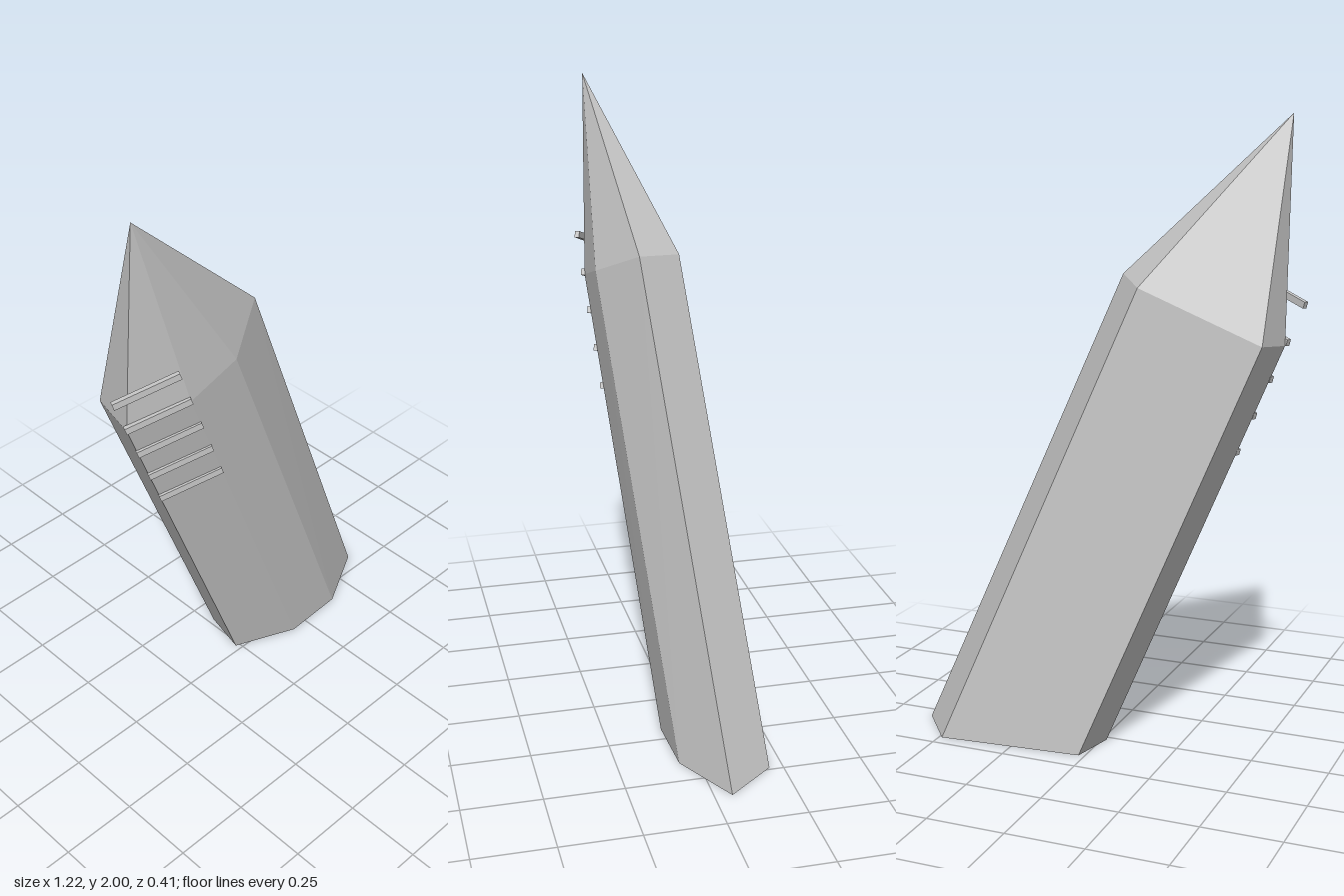
import * as THREE from 'three';

// Leaning six-sided crystal: base ring, shoulder ring and tip
const BASE = [
  [0.61, 0, -0.055], [0.49, 0, -0.207], [0.02, 0, -0.17],
  [-0.015, 0, -0.02], [0.19, 0, 0.067], [0.40, 0, 0.058],
];
const SHOULDER = [
  [-0.03, 1.51, 0.08], [-0.135, 1.485, -0.07], [-0.522, 1.325, -0.05],
  [-0.55, 1.31, 0.097], [-0.385, 1.375, 0.185], [-0.205, 1.43, 0.183],
];
const TIP = [-0.545, 2, 0.152];

function facets(triangles) {
  const geo = new THREE.BufferGeometry();
  geo.setAttribute('position', new THREE.Float32BufferAttribute(triangles.flat(2), 3));
  geo.computeVertexNormals();
  return geo;
}

export function createModel() {
  const group = new THREE.Group();
  const stone = new THREE.MeshStandardMaterial({ color: 0xc7c7c7 });
  stone.name = 'light stone grey';

  const add = (name, geo) => {
    const mesh = new THREE.Mesh(geo, stone);
    mesh.name = name;
    group.add(mesh);
    return mesh;
  };

  // Shaft, pointed cap and flat foot, facet by facet, corners wound outward
  const shaft = [], cap = [], foot = [];
  for (let i = 0; i < 6; i++) {
    const j = (i + 1) % 6;
    const a = BASE[i], b = BASE[j], c = SHOULDER[j], d = SHOULDER[i];
    shaft.push([a, b, c], [a, c, d]);
    cap.push([d, c, TIP]);
    if (i > 0 && i < 5) foot.push([BASE[0], b, a]);
  }
  add('shaft', facets(shaft));
  add('pointedCap', facets(cap));
  add('foot', facets(foot));

  // Row of thin rungs up the leaning edge
  const along = new THREE.Vector3(0.173, 0.063, 0.088);
  const rungGeo = new THREE.BoxGeometry(along.length(), 0.021, 0.015);
  const x = along.clone().normalize();
  const z = new THREE.Vector3().crossVectors(x, new THREE.Vector3(0, 1, 0)).normalize();
  const y = new THREE.Vector3().crossVectors(z, x);
  const turn = new THREE.Matrix4().makeBasis(x, y, z);
  for (let i = 0; i < 5; i++) {
    const rung = add('rung' + (i + 1), rungGeo);
    rung.position.set(-0.33 - 0.0475 * i, 1.006 + 0.115 * i, 0.115 + 0.01 * i);
    rung.quaternion.setFromRotationMatrix(turn);
  }
  return group;
}
